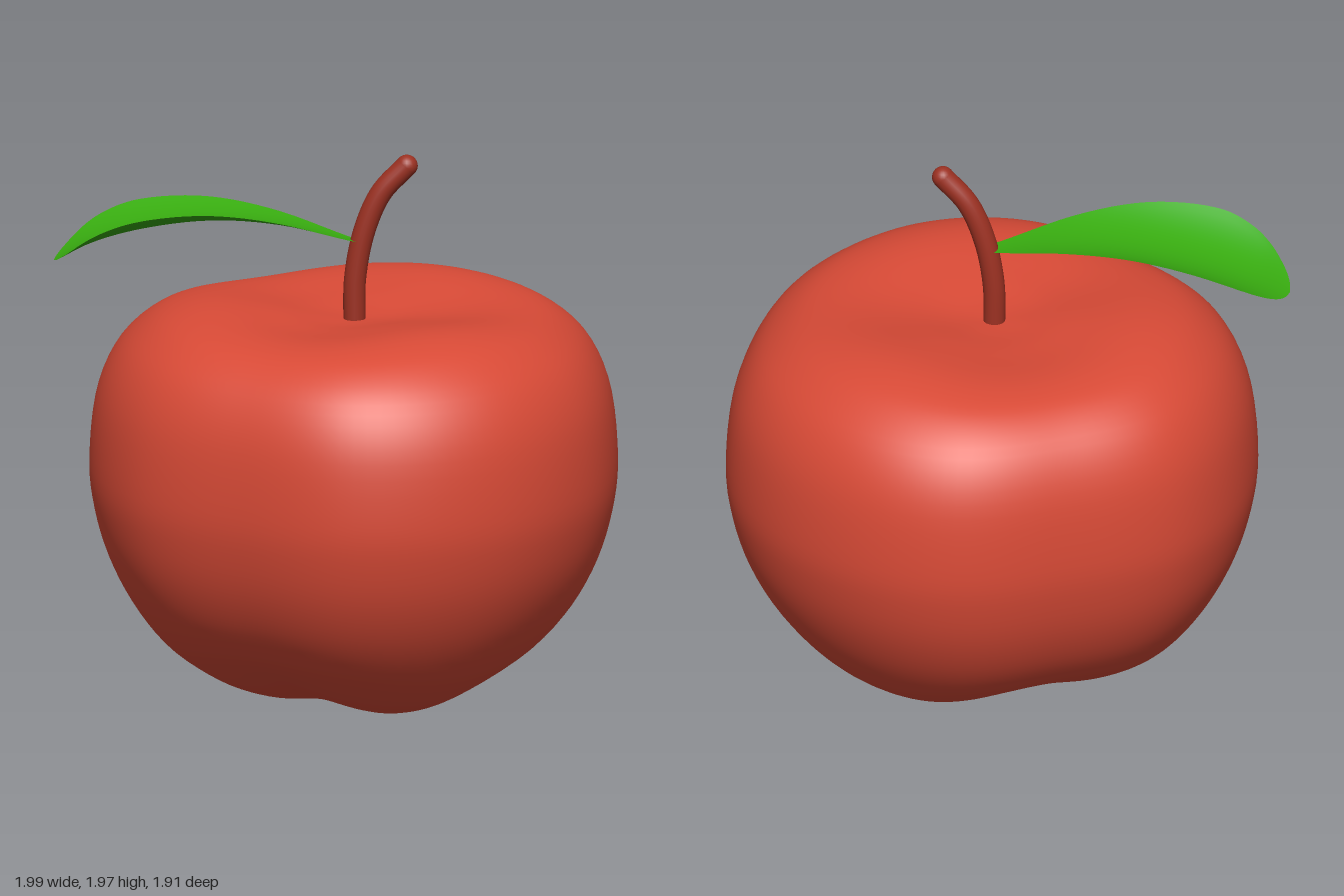
import * as THREE from 'three';
import { mergeVertices } from 'three/addons/utils/BufferGeometryUtils.js';

const CENTRE_X = 0.06;
const v2 = (list) => list.map(([x, y]) => new THREE.Vector2(x, y));
const v3 = (list) => list.map(([x, y, z]) => new THREE.Vector3(x, y, z));

function smooth(geometry) {
  geometry.deleteAttribute('normal');
  geometry.deleteAttribute('uv');
  const merged = mergeVertices(geometry, 1e-5);
  merged.computeVertexNormals();
  return merged;
}

// Body: a turned profile, stretched to a three-lobed outline
function fruitGeometry() {
  const profile = new THREE.SplineCurve(v2([
    [0, 0.05], [0.1, 0.03], [0.22, 0.007], [0.36, 0.022], [0.52, 0.08], [0.7, 0.2],
    [0.83, 0.35], [0.925, 0.52], [0.98, 0.69], [1, 0.86], [0.975, 1.1], [0.9, 1.27],
    [0.78, 1.38], [0.65, 1.432], [0.5, 1.445], [0.3, 1.42], [0.13, 1.39], [0, 1.38],
  ])).getPoints(72);
  profile[0].x = profile[72].x = 0;

  // outline radius every 30 degrees, from +x towards +z
  const radii = [0.93, 0.95, 0.965, 0.95, 0.88, 0.92, 0.935, 0.94, 0.89, 0.955, 0.97, 0.97];
  const outline = new THREE.CatmullRomCurve3(
    radii.map((r, i) => new THREE.Vector3(r, i, 0)), true, 'catmullrom');

  const geometry = new THREE.LatheGeometry(profile, 120);
  const pos = geometry.attributes.position;
  for (let i = 0; i < pos.count; i++) {
    const x = pos.getX(i), y = pos.getY(i), z = pos.getZ(i);
    const rho = Math.hypot(x, z);
    const angle = Math.atan2(z, x);
    const turn = (angle / (2 * Math.PI) + 1) % 1;
    const r = outline.getPoint(turn).x;
    // grooves between the lobes fade out towards the equator and the poles
    const groove = (1 + Math.cos(3 * angle)) / 2;
    const fade = Math.sin(Math.PI * Math.min(rho, 1)) ** 2;
    const lift = y < 0.86 ? 0.07 : -0.035;
    pos.setXYZ(i, CENTRE_X + x * r, y + lift * groove * fade, z * r);
  }
  return smooth(geometry);
}

// Leaf: a cupped strip bent along its midrib
function leafGeometry() {
  const midrib = new THREE.CatmullRomCurve3(v3([
    [0.07, 1.665, 0], [-0.2, 1.73, 0], [-0.45, 1.747, 0],
    [-0.7, 1.715, 0], [-0.87, 1.665, 0], [-1, 1.6, 0.01],
  ]));
  const halfWidth = new THREE.SplineCurve(v2([
    [0, 0.03], [0.25, 0.125], [0.48, 0.19], [0.7, 0.221], [0.82, 0.205],
    [0.9, 0.165], [0.96, 0.105], [0.99, 0.05], [1, 0],
  ]));
  const along = 48, across = 16;
  const geometry = new THREE.PlaneGeometry(1, 1, across, along);
  const pos = geometry.attributes.position;
  for (let j = 0; j <= along; j++) {
    const w = halfWidth.getPoint(j / along);
    const p = midrib.getPointAt(THREE.MathUtils.clamp(w.x, 0, 1));
    for (let i = 0; i <= across; i++) {
      const s = w.y * (2 * i / across - 1);
      pos.setXYZ(j * (across + 1) + i, p.x, p.y + 1.25 * s * s + 0.07 * s, p.z + s + 0.008);
    }
  }
  geometry.computeVertexNormals();
  return geometry;
}

export function createModel() {
  const model = new THREE.Group();
  model.name = 'apple';
  const add = (name, geometry, color, side = THREE.FrontSide) => {
    const mesh = new THREE.Mesh(geometry, new THREE.MeshStandardMaterial({ color, side }));
    mesh.name = name;
    model.add(mesh);
    return mesh;
  };

  add('fruit', fruitGeometry(), 0xd84a36);

  // Stem: a curved tube with a rounded end
  const path = new THREE.CatmullRomCurve3(v3([
    [0.06, 1.35, 0], [0.063, 1.53, 0], [0.095, 1.7, 0], [0.155, 1.84, 0], [0.245, 1.938, 0],
  ]));
  add('stem', new THREE.TubeGeometry(path, 40, 0.039, 20, false), 0x9c3122);
  const tip = add('stemTip', new THREE.SphereGeometry(0.039, 20, 14), 0x9c3122);
  tip.position.copy(path.getPoint(1));

  add('leaf', leafGeometry(), 0x38ac10, THREE.DoubleSide);
  return model;
}
